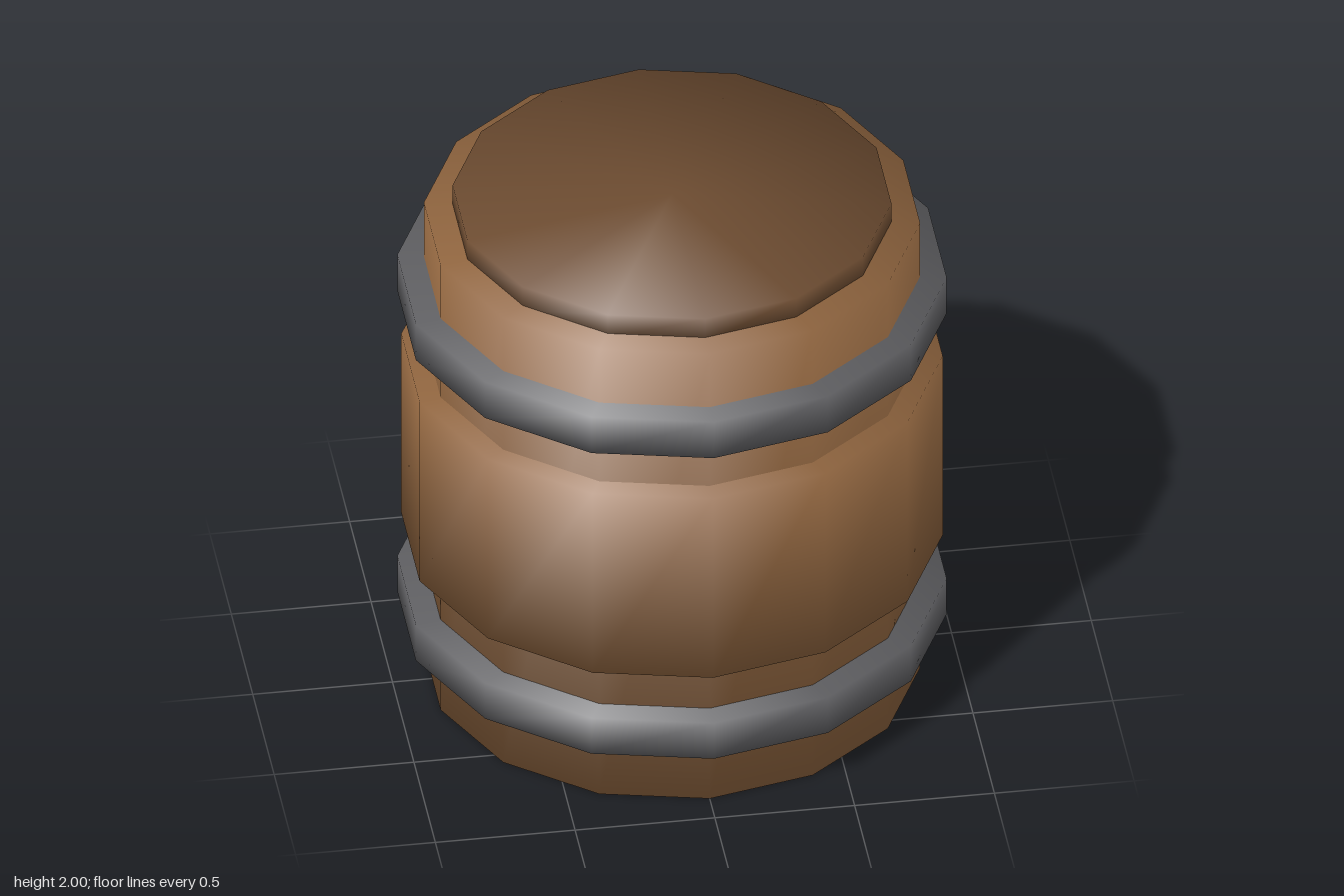
import * as THREE from 'three';

const SIDES = 14;

// Closed drum whose normals blend softly around both rims
function drum(radius, bottom, top) {
  const geo = new THREE.CylinderGeometry(radius, radius, top - bottom, SIDES);
  const pos = geo.attributes.position;
  const normal = geo.attributes.normal;
  const n = new THREE.Vector3();
  for (let i = 0; i < pos.count; i++) {
    n.set(pos.getX(i) / radius, Math.sign(pos.getY(i)), pos.getZ(i) / radius).normalize();
    normal.setXYZ(i, n.x, n.y, n.z);
  }
  geo.translate(0, (bottom + top) / 2, 0);
  return geo;
}

function material(name, color) {
  const m = new THREE.MeshStandardMaterial({ color });
  m.name = name;
  return m;
}

export function createModel() {
  const group = new THREE.Group();
  group.name = 'barrel';
  const wood = material('wood', 0x90653f);
  const darkWood = material('darkWood', 0x6d4c31);
  const iron = material('iron', 0x606063);

  const parts = [
    // name, radius, bottom, top, material
    ['body', 0.88, 0, 1.92, wood],
    ['belly', 0.96, 0.577, 1.35, wood],
    ['lowerHoop', 0.974, 0.237, 0.39, iron],
    ['upperHoop', 0.974, 1.535, 1.69, iron],
    ['lid', 0.778, 1.9, 2, darkWood],
  ];
  for (const [name, radius, bottom, top, mat] of parts) {
    const mesh = new THREE.Mesh(drum(radius, bottom, top), mat);
    mesh.name = name;
    group.add(mesh);
  }
  return group;
}
